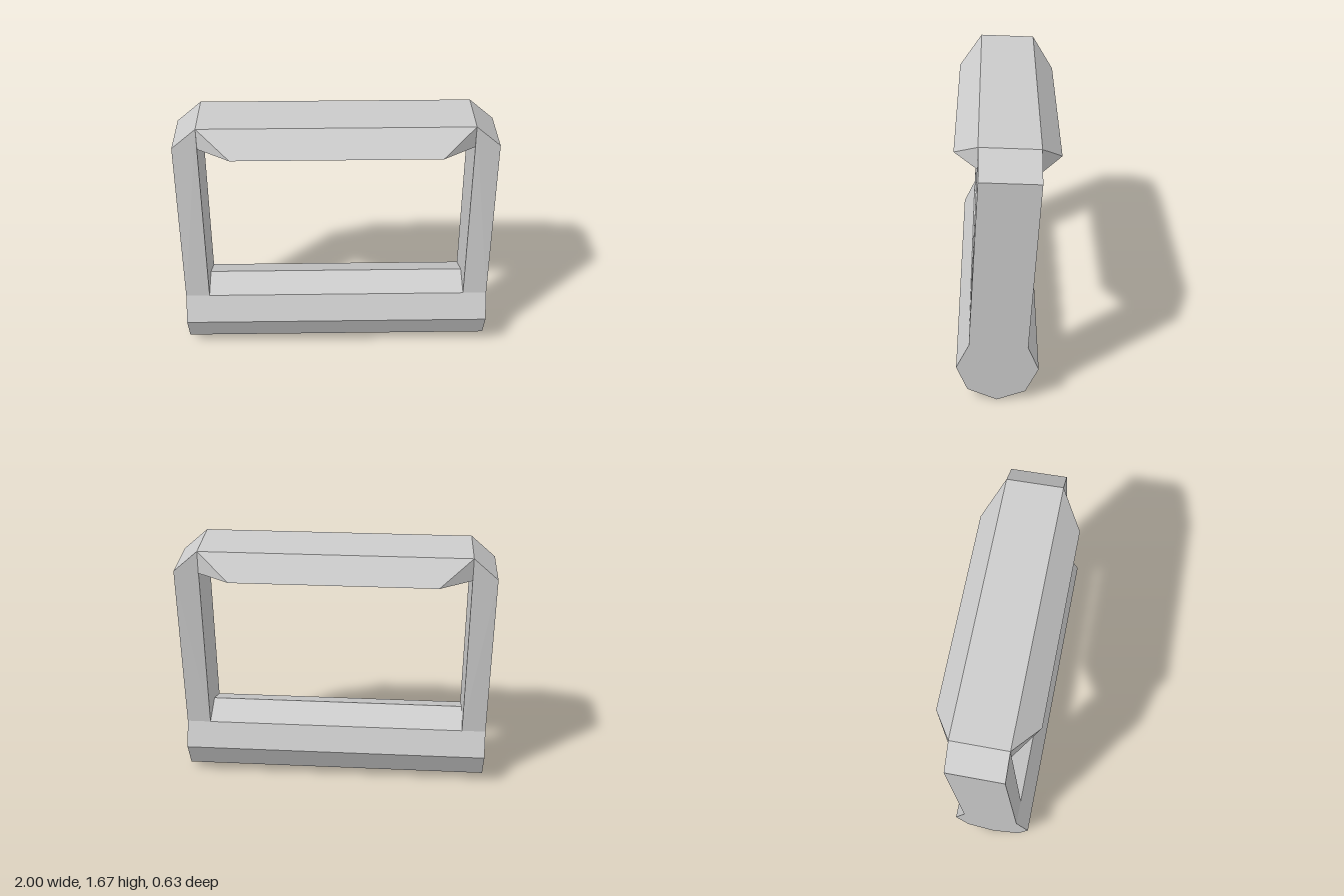
import * as THREE from 'three';
import { ConvexGeometry } from 'three/addons/geometries/ConvexGeometry.js';

const material = new THREE.MeshStandardMaterial({ color: 0xcccccc, flatShading: true });

function part(name, geometry) {
  const mesh = new THREE.Mesh(geometry, material);
  mesh.name = name;
  return mesh;
}

// Faceted solid from its corner points
function solid(name, corners) {
  return part(name, new ConvexGeometry(corners.map(c => new THREE.Vector3(...c))));
}

export function createModel() {
  const group = new THREE.Group();
  group.name = 'frame';
  const inner = 0.845, outer = 1;

  // Octagonal sill, profile given as [z, y], running the full width
  const profile = [
    [0.07, 0], [0.25, 0.085], [0.315, 0.255], [0.235, 0.422],
    [0.06, 0.485], [-0.12, 0.402], [-0.185, 0.235], [-0.105, 0.065],
  ];
  const shape = new THREE.Shape(profile.map(([z, y]) => new THREE.Vector2(-z, y)));
  const sill = new THREE.ExtrudeGeometry(shape, { depth: 2 * outer, bevelEnabled: false });
  sill.rotateY(Math.PI / 2).translate(-outer, 0, 0);
  group.add(part('sill', sill));

  // Backward-leaning posts with a chamfered outer top corner
  for (const [name, s] of [['leftPost', 1], ['rightPost', -1]]) {
    group.add(solid(name, [
      [s * inner, 0.422, 0.235], [s * outer, 0.422, 0.235],
      [s * inner, 0.402, -0.12], [s * outer, 0.402, -0.12],
      [s * inner, 1.67, 0.165], [s * outer, 1.535, 0.165],
      [s * inner, 1.655, -0.19], [s * outer, 1.52, -0.19],
    ]));
  }

  // Top beam flaring out to the front and back, with slanted flap ends
  const beam = [];
  for (const s of [1, -1]) {
    beam.push(
      [s * inner, 1.67, 0.165], [s * inner, 1.655, -0.19],
      [s * inner, 1.528, 0.165], [s * inner, 1.511, -0.19],
      [s * 0.64, 1.535, 0.31], [s * 0.64, 1.505, -0.315],
    );
  }
  group.add(solid('topBeam', beam));

  return group;
}
